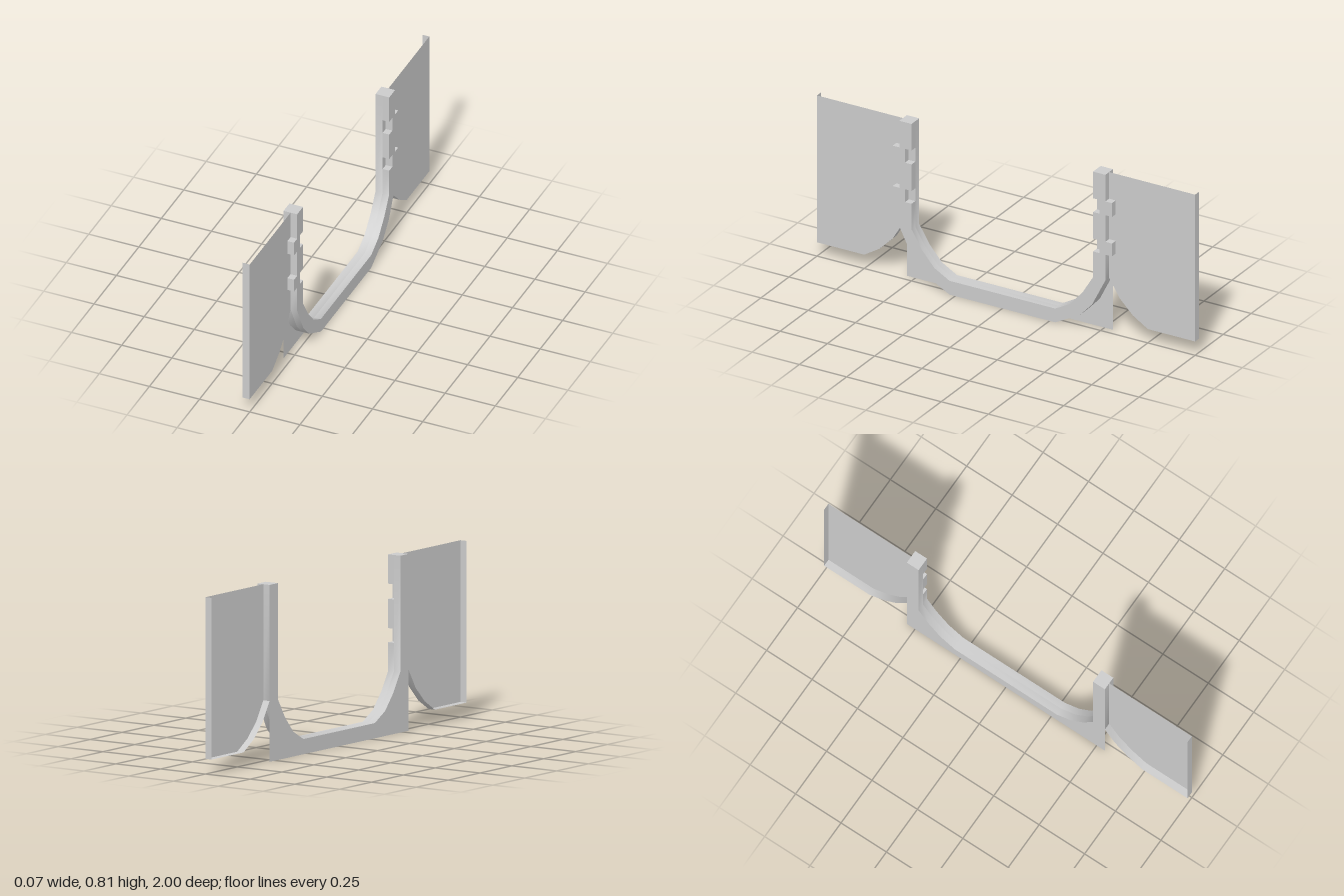
import * as THREE from 'three';
import { toCreasedNormals } from 'three/addons/utils/BufferGeometryUtils.js';

const BACK = -0.035, FRONT = 0.033, TOP = 0.815;
const BANDS = [[0.41, 0.475], [0.61, 0.68]];

const solid = new THREE.MeshStandardMaterial({ color: 0xcccccc });
const thin = new THREE.MeshStandardMaterial({ color: 0xcccccc, side: THREE.DoubleSide });

// Profiles are drawn as [z, y]
const toShape = (pts) => new THREE.Shape(pts.map(([z, y]) => new THREE.Vector2(z, y)));
const mirror = (pts) => pts.map(([z, y]) => [-z, y]).reverse();

function add(group, name, geometry, material) {
  const mesh = new THREE.Mesh(geometry, material);
  mesh.name = name;
  group.add(mesh);
}

// Solid slab of a profile between two x positions
function slab(pts, x0, x1) {
  const g = new THREE.ExtrudeGeometry(toShape(pts), { depth: x1 - x0, bevelEnabled: false });
  g.rotateY(-Math.PI / 2).translate(x1, 0, 0);
  return toCreasedNormals(g, 0.7);
}

// Thin sheet of a profile at one x position
function sheet(pts, x) {
  return new THREE.ShapeGeometry(toShape(pts)).rotateY(-Math.PI / 2).translate(x, 0, 0);
}

// Thin wall following a profile between two x positions
function wall(pts, x0, x1) {
  const pos = [], index = [];
  pts.forEach(([z, y], i) => {
    pos.push(x0, y, z, x1, y, z);
    if (i) {
      const a = 2 * i - 2;
      index.push(a, a + 1, a + 2, a + 1, a + 3, a + 2);
    }
  });
  const g = new THREE.BufferGeometry();
  g.setAttribute('position', new THREE.Float32BufferAttribute(pos, 3));
  g.setIndex(index);
  return toCreasedNormals(g, 0.7);
}

// U-shaped outline; stepped adds the sideways-shifted clips on the posts
function frameOutline(stepped) {
  const bands = stepped ? BANDS : [];
  const outer = [[0.28, 0], [0.41, 0.07], [0.475, 0.14], [0.545, 0.28]];
  const inner = [[0.48, 0.28], [0.425, 0.19], [0.36, 0.115], [0.28, 0.07]];
  for (const [a, b] of bands) outer.push([0.545, a], [0.58, a], [0.58, b], [0.545, b]);
  const innerSteps = [];
  for (const [a, b] of [...bands].reverse()) {
    innerSteps.push([0.48, b], [0.515, b], [0.515, a], [0.48, a]);
  }
  const half = [...outer, [0.545, TOP], [0.48, TOP], ...innerSteps, ...inner];
  return [...half, ...mirror(half)];
}

export function createModel() {
  const group = new THREE.Group();
  group.name = 'bracket';

  // U frame in two layers
  add(group, 'frameBackLayer', slab(frameOutline(false), BACK, 0), solid);
  add(group, 'frameClipLayer', slab(frameOutline(true), 0, FRONT), solid);

  // Side panels (open trays) and corner gussets
  const rim = [[0.545, 0.28], [0.6, 0.19], [0.67, 0.12], [0.75, 0.07], [1, 0.07], [1, TOP]];
  const gusset = [[0.28, 0], [0.545, 0], [0.545, 0.28], [0.475, 0.14], [0.41, 0.07]];
  for (const [side, flip] of [['front', (p) => p], ['back', mirror]]) {
    const panel = new THREE.Group();
    panel.name = side + 'Panel';
    add(panel, side + 'PanelFace', sheet(flip([...rim, [0.545, TOP]]), 0), thin);
    add(panel, side + 'PanelRim', wall(flip(rim), BACK, 0), thin);
    group.add(panel);
    add(group, side + 'Gusset', sheet(flip(gusset), BACK), thin);
  }
  return group;
}
